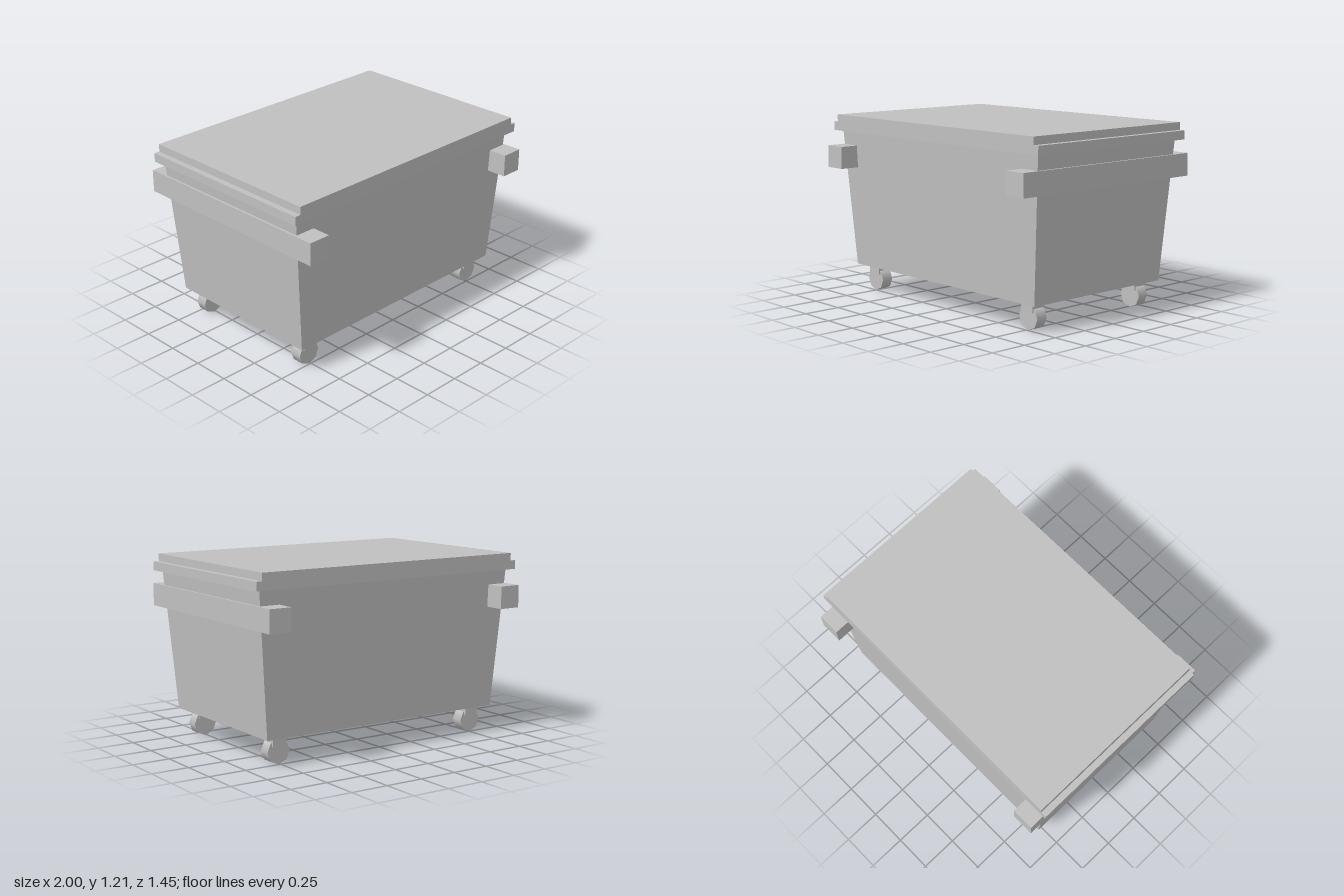
import * as THREE from 'three';

export function createModel() {
  const model = new THREE.Group();
  model.name = 'wheeledBin';
  const grey = new THREE.MeshStandardMaterial({ color: 0xc0c0c0, side: THREE.DoubleSide });
  grey.name = 'grey';

  const add = (name, geometry, x = 0, y = 0, z = 0) => {
    const mesh = new THREE.Mesh(geometry, grey);
    mesh.name = name;
    mesh.position.set(x, y, z);
    model.add(mesh);
    return mesh;
  };

  // Box without its underside (faces run +x, -x, +y, -y, +z, -z)
  const openBox = (w, h, d) => {
    const g = new THREE.BoxGeometry(w, h, d);
    const index = Array.from(g.index.array);
    index.splice(18, 6);
    g.setIndex(index);
    g.clearGroups();
    return g;
  };

  // Tapered tub, open below
  const tub = openBox(1.91, 0.922, 1.208);
  const p = tub.attributes.position;
  for (let i = 0; i < p.count; i++) {
    if (p.getY(i) < 0) {
      p.setX(i, Math.sign(p.getX(i)) * 0.88);
      p.setZ(i, Math.sign(p.getZ(i)) * 0.557);
    }
  }
  tub.computeVertexNormals();
  add('tub', tub, 0, 0.636, 0);

  // Lid with a step along each side, extruded front to back
  const profile = new THREE.Shape([
    [-1, 1.097], [1, 1.097], [1, 1.155], [0.96, 1.155],
    [0.96, 1.205], [-0.96, 1.205], [-0.96, 1.155], [-1, 1.155],
  ].map(([x, y]) => new THREE.Vector2(x, y)));
  const lid = new THREE.ExtrudeGeometry(profile, { depth: 1.292, bevelEnabled: false });
  add('lid', lid, 0, 0, -0.646);

  // Lifting beams through both sides, and four casters
  for (const sx of [-1, 1]) {
    add('liftingBeam', openBox(0.15, 0.148, 1.454), sx * 0.887, 0.927, 0);
    for (const sz of [-1, 1]) {
      add('casterBracket', openBox(0.098, 0.06, 0.1), sx * 0.76, 0.145, sz * 0.456);
      const wheel = new THREE.CylinderGeometry(0.08, 0.08, 0.078, 8);
      wheel.rotateX(Math.PI / 2);
      add('casterWheel', wheel, sx * 0.76, 0.08, sz * 0.455);
    }
  }
  return model;
}
